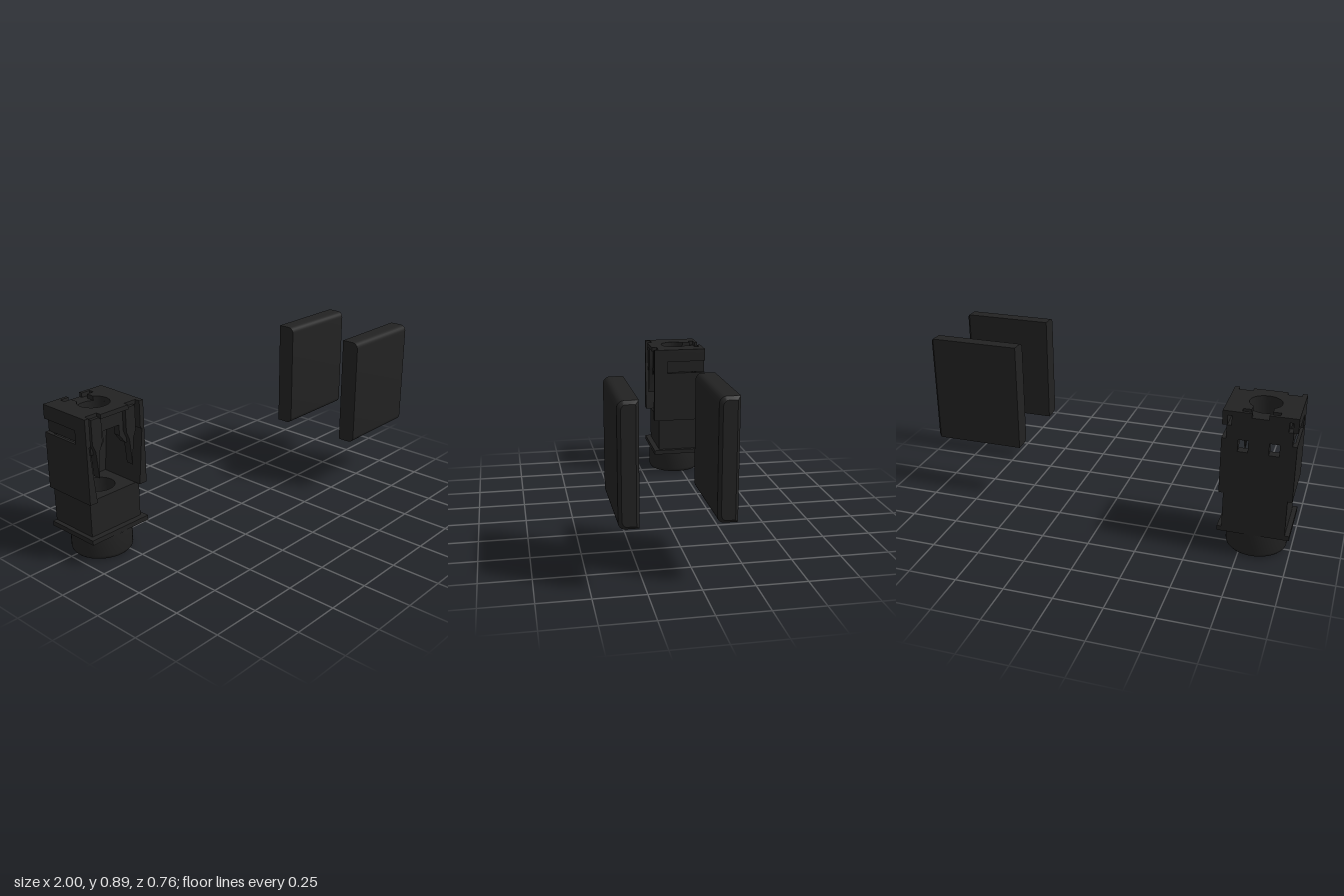
import * as THREE from 'three';
import { toCreasedNormals } from 'three/addons/utils/BufferGeometryUtils.js';

const material = new THREE.MeshStandardMaterial({ color: 0x222222 });

function add(group, name, geometry) {
  const mesh = new THREE.Mesh(toCreasedNormals(geometry, 0.6), material);
  mesh.name = name;
  group.add(mesh);
  return mesh;
}

const shapeOf = (points) => new THREE.Shape(points.map(([x, y]) => new THREE.Vector2(x, y)));

// Rectangle outline, as points
const rect = (x0, y0, x1, y1) => [[x0, y0], [x1, y0], [x1, y1], [x0, y1]];

// Upright panel: outline in x/y, thick from z0 to z1
function panel(shape, z0, z1) {
  return new THREE.ExtrudeGeometry(shape, { depth: z1 - z0, bevelEnabled: false, curveSegments: 24 })
    .translate(0, 0, z0);
}

// Flat slab: outline in x/-z, thick from y0 to y1
function slab(shape, y0, y1) {
  return new THREE.ExtrudeGeometry(shape, { depth: y1 - y0, bevelEnabled: false, curveSegments: 24 })
    .rotateX(-Math.PI / 2).translate(0, y0, 0);
}

const BORE = 0.08, FRONT = 0.154, BACK = -0.156;

function withBore(shape) {
  shape.holes.push(new THREE.Path().absarc(0, 0, BORE, 0, Math.PI * 2, true));
  return shape;
}

function createSocket() {
  const socket = new THREE.Group();
  socket.name = 'socket';

  // Round collar with a bore and a rounded lower rim
  const collar = [[BORE, 0.13], [BORE, 0.02], [0.09, 0], [0.134, 0], [0.146, 0.004], [0.153, 0.012],
    [0.156, 0.024], [0.156, 0.13]].map(([r, y]) => new THREE.Vector2(r, y));
  add(socket, 'collar', new THREE.LatheGeometry(collar, 40));

  // Flange and neck, both bored through
  add(socket, 'flange', slab(withBore(shapeOf(rect(-0.18, -FRONT, 0.18, -BACK))), 0.13, 0.155));
  add(socket, 'neck', slab(withBore(shapeOf(rect(-0.157, -0.122, 0.157, -BACK))), 0.155, 0.345));

  // Back wall with two windows, narrowed beside the side slots
  const back = shapeOf([[-0.18, 0.345], [0.18, 0.345], [0.18, 0.64], [0.158, 0.64], [0.158, 0.71],
    [0.135, 0.71], [0.135, 0.76], [-0.135, 0.76], [-0.135, 0.71], [-0.158, 0.71], [-0.158, 0.64],
    [-0.18, 0.64]]);
  for (const s of [-1, 1]) {
    back.holes.push(new THREE.Path(rect(s * 0.05, 0.578, s * 0.1, 0.64).map(([x, y]) => new THREE.Vector2(x, y))));
  }
  add(socket, 'backWall', panel(back, BACK, -0.108));

  // Top plate: keyhole cut from the back, notches along the front
  const a = Math.acos(0.05 / BORE);
  const top = shapeOf([[-0.18, -FRONT], [-0.155, -FRONT], [-0.155, -0.125], [-0.085, -0.125],
    [-0.085, -FRONT], [0.085, -FRONT], [0.085, -0.125], [0.155, -0.125], [0.155, -FRONT], [0.18, -FRONT],
    [0.18, -BACK], [0.04, -BACK], [0.04, 0.138], [0.09, 0.138], [0.09, 0.108], [0.05, 0.108]]);
  top.absarc(0, 0, BORE, a, Math.PI - a, true);
  for (const [x, y] of [[-0.05, 0.108], [-0.09, 0.108], [-0.09, 0.138], [-0.04, 0.138], [-0.04, -BACK],
    [-0.18, -BACK]]) top.lineTo(x, y);
  add(socket, 'topPlate', slab(top, 0.76, 0.783));

  // Bored block under the top plate
  add(socket, 'topBlock', slab(withBore(shapeOf(rect(-0.134, -0.12, 0.134, 0.108))), 0.685, 0.76));

  // Inner front panel with a flared opening
  add(socket, 'innerPanel', panel(shapeOf([[-0.13, 0.578], [-0.085, 0.578], [-0.05, 0.625], [-0.05, 0.68],
    [0.05, 0.68], [0.05, 0.625], [0.085, 0.578], [0.13, 0.578], [0.13, 0.76], [-0.13, 0.76]]), 0.082, 0.12));

  for (const s of [-1, 1]) {
    const mirrored = (points) => shapeOf(points.map(([x, y]) => [s * x, y]));
    // Side wall, thinner toward the top of the opening
    add(socket, 'sideWall', panel(mirrored([[0.135, 0.345], [0.18, 0.345], [0.18, 0.64], [0.165, 0.64]]), -0.108, FRONT));
    // Front post and recessed web leave a slot that runs out at the back
    add(socket, 'sidePost', panel(mirrored(rect(0.155, 0.64, 0.18, 0.71)), 0.075, FRONT));
    add(socket, 'slotWeb', panel(mirrored(rect(0.145, 0.64, 0.158, 0.71)), -0.108, 0.075));
    add(socket, 'sideRail', panel(mirrored(rect(0.155, 0.71, 0.18, 0.76)), BACK, FRONT));
    // Pointed contact hanging in the front opening
    add(socket, 'contact', panel(mirrored([[0.105, 0.46], [0.118, 0.6], [0.135, 0.64], [0.135, 0.765],
      [0.075, 0.765], [0.075, 0.64], [0.092, 0.6]]), 0.1, 0.143));
  }
  socket.position.set(-0.82, 0, -0.222);
  return socket;
}

// Tile: one y/z profile lofted along x, bevelled at the +x end only
function tileGeometry() {
  const h = 0.289, d = 0.0475, r = 0.032, bevel = 0.015;
  const profile = [[-h, -d], [h, -d]];
  for (const [cy, start] of [[h - r, 0], [r - h, Math.PI / 2]]) {
    for (let i = 0; i <= 6; i++) {
      const t = start + (i / 6) * Math.PI / 2;
      profile.push([cy + r * Math.cos(t), d - r + r * Math.sin(t)]);
    }
  }
  const n = profile.length, positions = [], index = [];
  for (const [x, inset] of [[-0.245, 0], [0.23, 0], [0.245, bevel]]) {
    for (const [y, z] of profile) positions.push(x, y * (1 - inset / h), z * (1 - inset / d));
  }
  positions.push(-0.245, 0, 0, 0.245, 0, 0);
  for (let i = 0; i < n; i++) {
    const j = (i + 1) % n;
    for (const k of [0, n]) index.push(k + i, k + j, k + n + j, k + i, k + n + j, k + n + i);
    index.push(3 * n, j, i, 3 * n + 1, 2 * n + i, 2 * n + j);
  }
  const geometry = new THREE.BufferGeometry();
  geometry.setAttribute('position', new THREE.Float32BufferAttribute(positions, 3));
  geometry.setIndex(index);
  return geometry;
}

export function createModel() {
  const model = new THREE.Group();
  model.name = 'socketAndTiles';
  model.add(createSocket());
  for (const [name, z] of [['frontTile', 0.33], ['backTile', -0.113]]) {
    add(model, name, tileGeometry()).position.set(0.755, 0.601, z);
  }
  return model;
}
